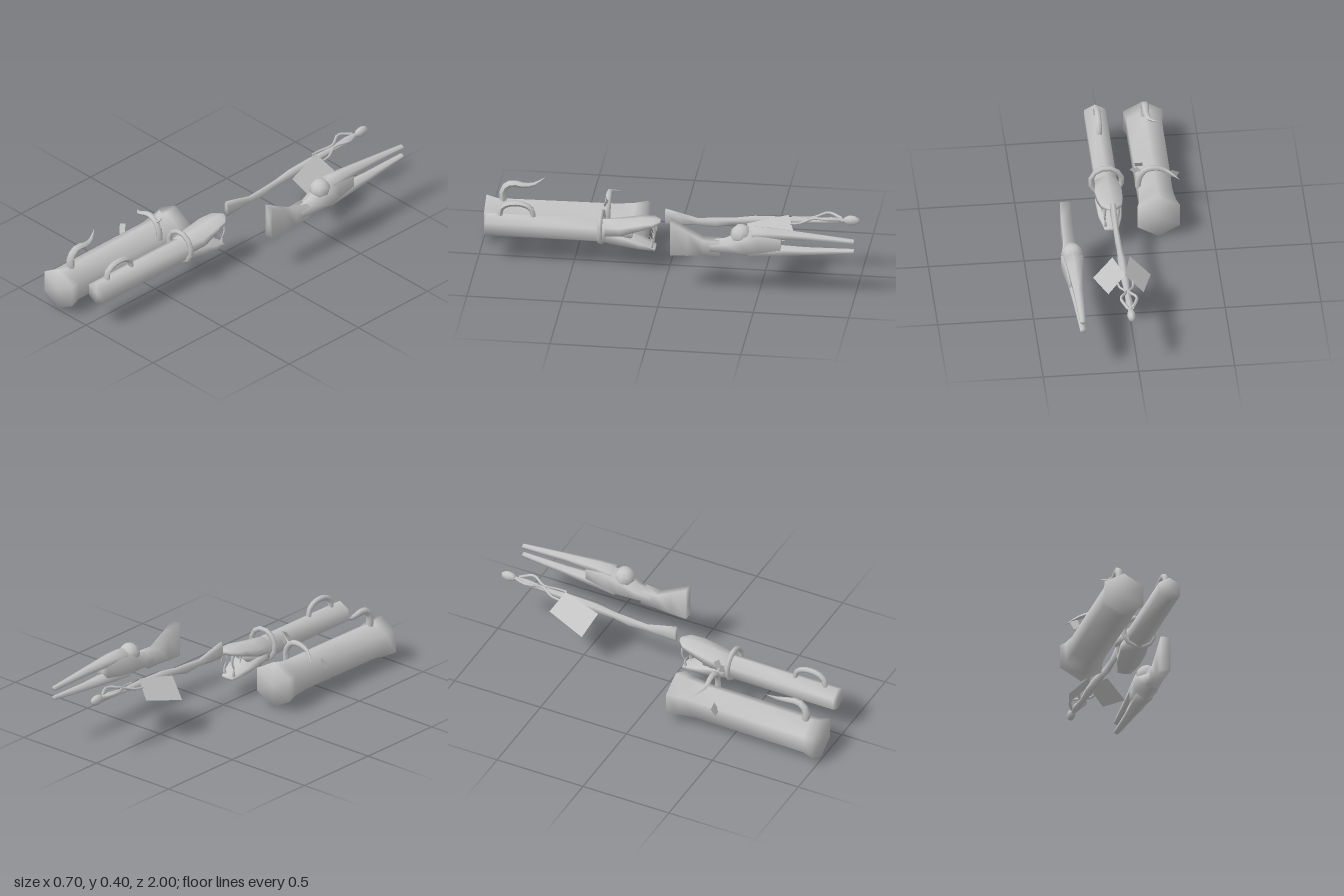
import * as THREE from 'three';

export function createModel() {
  const model = new THREE.Group();
  const grey = new THREE.MeshStandardMaterial({ name: 'plain grey', color: 0xc4c4c4, side: THREE.DoubleSide });

  const add = (name, geometry, parent = model) => {
    const mesh = new THREE.Mesh(geometry, grey);
    mesh.name = name;
    parent.add(mesh);
    return mesh;
  };
  const group = (name, x = 0) => {
    const g = new THREE.Group();
    g.name = name;
    g.position.x = x;
    model.add(g);
    return g;
  };

  // Smooth capped body from sections [z, centreY, halfWidth, halfHeight], front to back
  const loft = (sections, sides = 6, phase = Math.PI / 2, bulge = 0) => {
    const ring = [];
    for (let j = 0; j < sides; j++) {
      const a = phase + (j / sides) * Math.PI * 2;
      ring.push([Math.cos(a), Math.sin(a)]);
    }
    const mx = Math.max(...ring.map(p => p[0])), my = Math.max(...ring.map(p => p[1]));
    const pos = [], idx = [];
    for (const [z, cy, w, h] of sections)
      for (const [x, y] of ring) pos.push(x / mx * w, cy + y / my * h, z);
    const n = sections.length, f = n * sides, last = sections[n - 1];
    pos.push(0, sections[0][1], sections[0][0] + bulge, 0, last[1], last[0] - bulge);
    for (let j = 0; j < sides; j++) {
      const k = (j + 1) % sides;
      for (let i = 0; i < n - 1; i++) {
        const a = i * sides + j, b = i * sides + k;
        idx.push(a, a + sides, b, b, a + sides, b + sides);
      }
      idx.push(f, j, k, f + 1, (n - 1) * sides + k, (n - 1) * sides + j);
    }
    const g = new THREE.BufferGeometry();
    g.setAttribute('position', new THREE.Float32BufferAttribute(pos, 3));
    g.setIndex(idx);
    g.computeVertexNormals();
    return g;
  };

  // Tube through points, shrinking from r0 to r1
  const taper = (points, r0, r1 = r0, power = 1, segments = 10) => {
    const curve = new THREE.CatmullRomCurve3(points.map(p => new THREE.Vector3(...p)));
    const g = new THREE.TubeGeometry(curve, segments, r0, 6, false);
    const p = g.attributes.position, v = new THREE.Vector3();
    for (let i = 0; i < p.count; i++) {
      const t = Math.floor(i / 7) / segments, c = curve.getPointAt(t);
      v.fromBufferAttribute(p, i).sub(c)
        .multiplyScalar(1 + (r1 / r0 - 1) * Math.pow(t, power)).add(c);
      p.setXYZ(i, v.x, v.y, v.z);
    }
    g.computeVertexNormals();
    return g;
  };

  // Flat four-cornered plate
  const quad = (a, b, c, d) => {
    const g = new THREE.BufferGeometry();
    g.setAttribute('position', new THREE.Float32BufferAttribute([...a, ...b, ...c, ...d], 3));
    g.setIndex([0, 1, 2, 0, 2, 3]);
    g.computeVertexNormals();
    return g;
  };

  // Flared log-shaped launcher with horn grip, branch and leaves
  const log = group('logLauncher', -0.217);
  add('logBody', loft([
    [0.99, 0.124, 0.104, 0.119], [0.93, 0.126, 0.091, 0.1], [0.6, 0.13, 0.09, 0.1],
    [0.3, 0.132, 0.087, 0.102], [0.21, 0.132, 0.096, 0.112], [0.145, 0.132, 0.112, 0.128],
  ], 6, Math.PI / 2, 0.01), log);
  add('hornGrip', taper([[0, 0.2, 0.9], [0, 0.28, 0.9], [0, 0.315, 0.86], [0, 0.308, 0.79],
    [-0.015, 0.312, 0.74], [-0.043, 0.338, 0.69]], 0.021, 0.001, 2.5), log);
  add('branch', taper([[0.088, 0.18, 0.345], [0.085, 0.235, 0.345], [0.055, 0.285, 0.345],
    [0.005, 0.297, 0.345], [-0.055, 0.277, 0.345], [-0.125, 0.245, 0.3]], 0.017, 0.001, 3, 12), log);
  add('twig', taper([[0.06, 0.275, 0.345], [0.09, 0.295, 0.35], [0.112, 0.328, 0.35]], 0.008, 0.001, 1, 5), log);
  add('upperLeaf', quad([0.06, 0.312, 0.35], [0.1, 0.303, 0.36], [0.11, 0.34, 0.34], [0.07, 0.347, 0.33]), log);
  add('sideLeaf', quad([0.085, 0.285, 0.34], [0.108, 0.263, 0.355], [0.132, 0.285, 0.36], [0.11, 0.31, 0.345]), log);
  add('lowerLeaf', quad([-0.118, 0.158, 0.435], [-0.078, 0.17, 0.435], [-0.093, 0.224, 0.415], [-0.135, 0.206, 0.415]), log);

  // Hexagonal cannon ending in open jaws
  const cannon = group('jawCannon', 0.037);
  add('cannonBody', loft([[0.96, 0.198, 0.056, 0.065], [0.36, 0.2, 0.056, 0.066],
    [0.27, 0.2, 0.062, 0.06], [0.19, 0.2, 0.04, 0.03]]), cannon);
  add('carryHandle', taper([[0, 0.24, 0.885], [0, 0.295, 0.88], [0, 0.322, 0.84], [0, 0.322, 0.76],
    [0, 0.295, 0.72], [0, 0.24, 0.71]], 0.016, 0.014), cannon);
  const collar = add('collarRing', new THREE.TorusGeometry(0.082, 0.014, 6, 12), cannon);
  collar.position.set(0, 0.222, 0.355);
  collar.rotation.z = Math.PI / 12;
  add('upperJaw', loft([[0.35, 0.215, 0.055, 0.05], [0.25, 0.226, 0.07, 0.045],
    [0.15, 0.253, 0.066, 0.032], [0.08, 0.266, 0.053, 0.02], [0.045, 0.272, 0.018, 0.01]]), cannon);
  add('lowerJaw', loft([[0.35, 0.185, 0.055, 0.05], [0.25, 0.172, 0.068, 0.044],
    [0.15, 0.145, 0.06, 0.028], [0.07, 0.12, 0.035, 0.01]]), cannon);
  for (const s of [-1, 1]) {
    add('upperFang', taper([[s * 0.035, 0.265, 0.08], [s * 0.036, 0.21, 0.07], [s * 0.034, 0.165, 0.09]], 0.011, 0.001, 1, 5), cannon);
    add('upperTooth', taper([[s * 0.045, 0.25, 0.13], [s * 0.045, 0.2, 0.12]], 0.009, 0.001, 1, 3), cannon);
    add('lowerFang', taper([[s * 0.03, 0.125, 0.09], [s * 0.032, 0.165, 0.085], [s * 0.03, 0.2, 0.1]], 0.01, 0.001, 1, 5), cannon);
  }

  // Slim figurehead staff with folded arms and drooping wings
  const staff = group('figureheadStaff', 0.035);
  add('staffBody', loft([
    [0.02, 0.298, 0.015, 0.048], [-0.06, 0.29, 0.014, 0.036], [-0.15, 0.282, 0.013, 0.02],
    [-0.25, 0.283, 0.014, 0.028], [-0.34, 0.296, 0.014, 0.02], [-0.45, 0.308, 0.02, 0.026],
    [-0.6, 0.317, 0.02, 0.022], [-0.74, 0.322, 0.013, 0.014], [-0.85, 0.332, 0.018, 0.019],
    [-0.92, 0.337, 0.009, 0.01],
  ]), staff);
  const head = add('head', new THREE.SphereGeometry(1, 8, 6), staff);
  head.scale.set(0.022, 0.027, 0.045);
  head.position.set(0, 0.338, -0.955);
  for (const s of [-1, 1]) {
    add('arm', taper([[s * 0.012, 0.342, -0.9], [s * 0.042, 0.355, -0.83], [s * 0.008, 0.34, -0.755],
      [s * 0.035, 0.322, -0.69], [s * 0.04, 0.318, -0.64]], 0.009, 0.006, 1, 12), staff);
    const corner = (x, z) => [s * x, 0.35 - 0.9 * x, z];
    add('wing', quad(corner(0, -0.625), corner(0.045, -0.413), corner(0.15, -0.455), corner(0.092, -0.672)), staff);
  }

  // Forked blade with a flared grip and round stone
  const fork = group('forkedBlade', 0.291);
  add('grip', loft([[-0.04, 0.311, 0.027, 0.094], [-0.13, 0.288, 0.027, 0.068],
    [-0.21, 0.27, 0.028, 0.042], [-0.3, 0.272, 0.035, 0.04]], 4, Math.PI / 4), fork);
  add('forkBody', loft([[-0.23, 0.27, 0.028, 0.035], [-0.33, 0.28, 0.045, 0.045],
    [-0.43, 0.305, 0.059, 0.078], [-0.5, 0.313, 0.05, 0.085], [-0.62, 0.315, 0.035, 0.06]]), fork);
  add('upperProng', loft([[-0.47, 0.355, 0.045, 0.042], [-0.56, 0.362, 0.037, 0.032],
    [-0.75, 0.357, 0.024, 0.022], [-1, 0.343, 0.014, 0.013]]), fork);
  add('lowerProng', loft([[-0.45, 0.265, 0.045, 0.04], [-0.56, 0.267, 0.037, 0.034],
    [-0.75, 0.273, 0.024, 0.023], [-1, 0.289, 0.014, 0.012]]), fork);
  const stone = add('roundStone', new THREE.SphereGeometry(0.057, 8, 6), fork);
  stone.position.set(0, 0.347, -0.41);

  return model;
}
